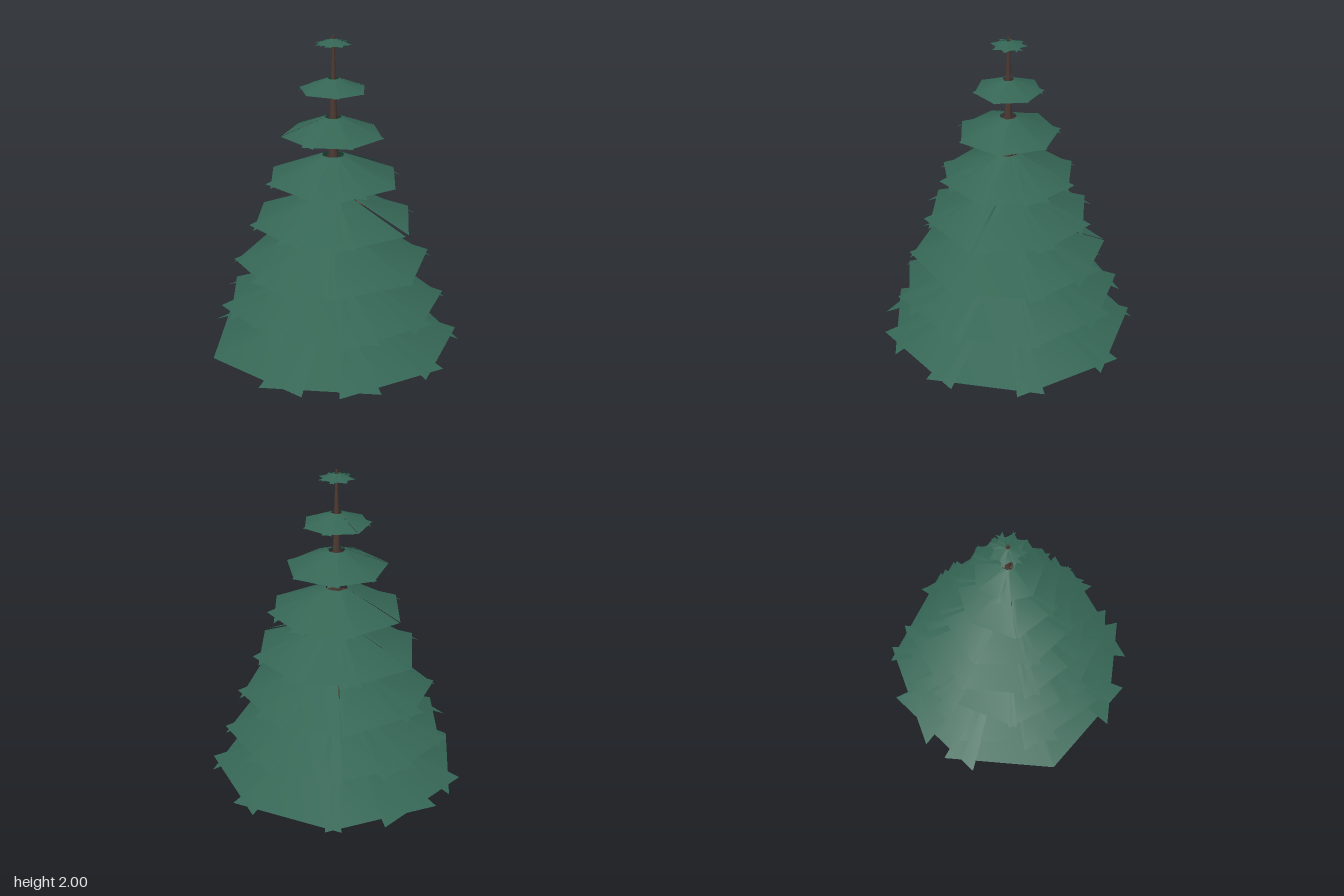
import * as THREE from 'three';

const UP = new THREE.Vector3(0, 1, 0);

// Small seeded generator for the irregular spacing of the boughs
function makeRandom(seed) {
  let s = seed;
  return () => (s = (s * 16807) % 2147483647) / 2147483647;
}

// Tapered round stick between two points
function stick(from, to, r0, r1, material) {
  const dir = to.clone().sub(from);
  const mesh = new THREE.Mesh(new THREE.CylinderGeometry(r1, r0, dir.length(), 6), material);
  mesh.position.copy(from).addScaledVector(dir, 0.5);
  mesh.quaternion.setFromUnitVectors(UP, dir.normalize());
  return mesh;
}

// Tiers from the ground up: rim height, top height, rim radius, boughs, arc in degrees
const TIERS = [
  { low: 0.24, high: 0.48, r: 0.72, n: 9, arc: 54 },
  { low: 0.48, high: 0.70, r: 0.635, n: 9, arc: 54 },
  { low: 0.725, high: 0.917, r: 0.555, n: 8, arc: 55 },
  { low: 0.965, high: 1.13, r: 0.47, n: 8, arc: 55 },
  { low: 1.207, high: 1.342, r: 0.38, n: 8, arc: 56 },
  { low: 1.457, high: 1.555, r: 0.285, n: 7, arc: 58 },
  { low: 1.705, high: 1.768, r: 0.19, n: 7, arc: 60 },
  { low: 1.953, high: 1.98, r: 0.1, n: 8, arc: 104 },
];
const LOWEST_ANGLES = [7, 48, 90, 131, 178, 204, 243, 297, 331];

export function createModel() {
  const needles = new THREE.MeshStandardMaterial({ name: 'needle green', color: 0x356655, side: THREE.DoubleSide });
  const bark = new THREE.MeshStandardMaterial({ name: 'bark brown', color: 0x4c3932 });
  const tree = new THREE.Group();
  tree.name = 'coniferTree';
  const random = makeRandom(4217);

  // Trunk
  const trunk = new THREE.Mesh(new THREE.CylinderGeometry(0.006, 0.068, 2, 16), bark);
  trunk.name = 'trunk';
  trunk.position.y = 1;
  tree.add(trunk);

  TIERS.forEach(({ low, high, r, n, arc }, t) => {
    const tier = new THREE.Group();
    tier.name = `tier${t + 1}`;
    const inner = r * 0.17;
    const half = THREE.MathUtils.degToRad(arc / 2);
    const offset = random() * 360;

    for (let i = 0; i < n; i++) {
      const degrees = t === 0 ? LOWEST_ANGLES[i] : offset + (i * 360) / n + (random() - 0.5) * 18;
      const a = THREE.MathUtils.degToRad(degrees);

      // Flat bough: one wide facet of a cone, overlapping its neighbours
      const bough = new THREE.Mesh(
        new THREE.CylinderGeometry(inner, r, high - low, 1, 1, true, a - half, half * 2), needles);
      bough.name = 'bough';
      bough.position.y = (low + high) / 2;
      tier.add(bough);

      // Thin branch carrying the bough from below
      const reach = r * Math.cos(half) * 0.93;
      const gap = 0.004 + r * 0.016;
      const from = new THREE.Vector3(0, high - gap * 1.5, 0);
      const to = new THREE.Vector3(Math.sin(a) * reach, low + (high - low) * 0.06 - gap * 0.6, Math.cos(a) * reach);
      const branch = stick(from, to, 0.004 + r * 0.013, 0.002 + r * 0.003, bark);
      branch.name = 'branch';
      tier.add(branch);
    }
    tree.add(tier);
  });

  tree.position.set(0.004, 0, 0.004);
  const model = new THREE.Group();
  model.name = 'model';
  model.add(tree);
  return model;
}
